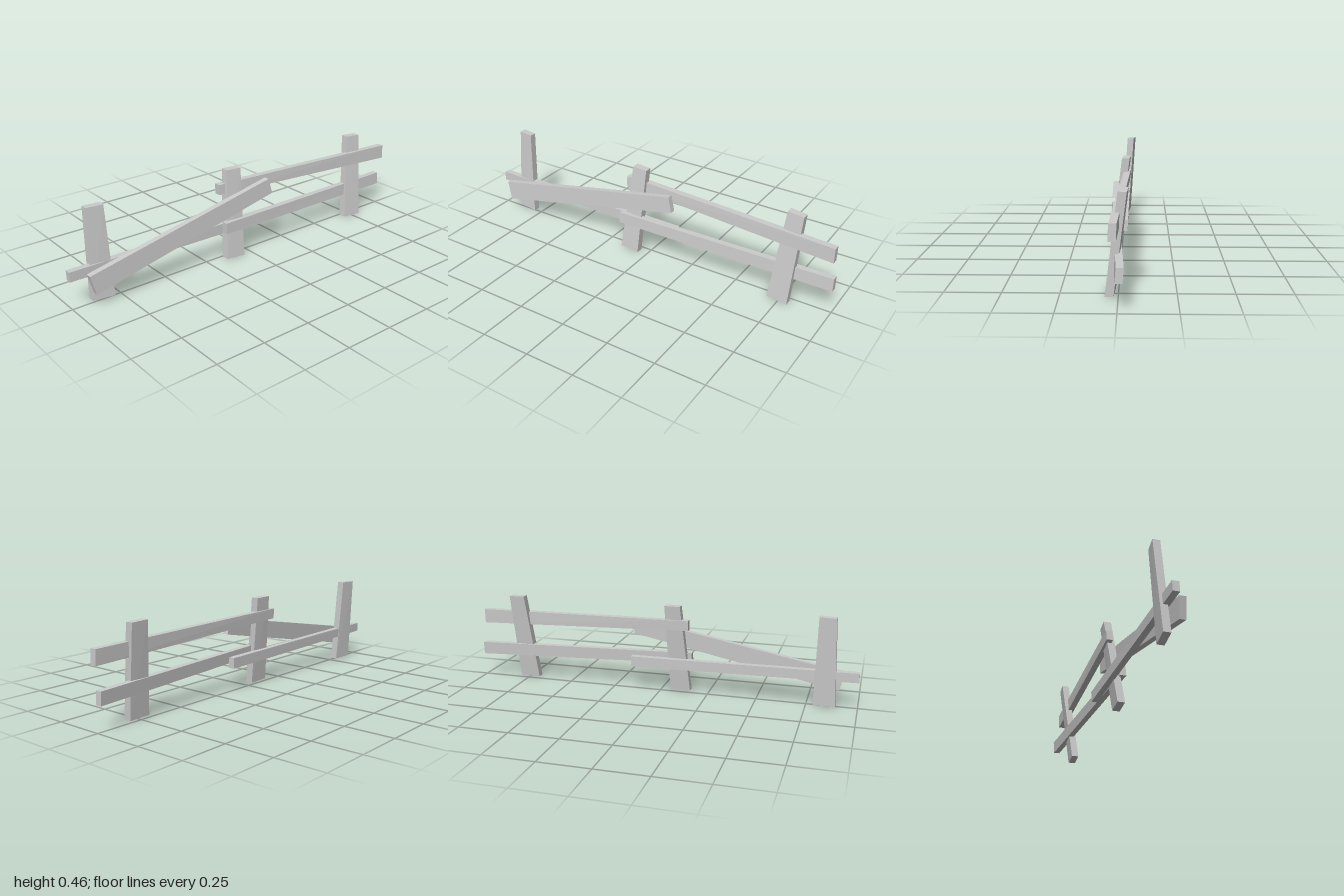
import * as THREE from 'three';

const material = new THREE.MeshStandardMaterial({ color: 0xcccccc, flatShading: true });

// A rough plank: four front-view corners [x, y, back z] (bottom left, bottom right,
// top left, top right), given thickness towards +z.
function plank(name, thickness, corners) {
  const geometry = new THREE.BoxGeometry(1, 1, 1);
  const p = geometry.attributes.position;
  for (let i = 0; i < p.count; i++) {
    const [x, y, z] = corners[(p.getX(i) > 0 ? 1 : 0) + (p.getY(i) > 0 ? 2 : 0)];
    p.setXYZ(i, x, y, z + (p.getZ(i) > 0 ? thickness : 0));
  }
  geometry.computeVertexNormals();
  const mesh = new THREE.Mesh(geometry, material);
  mesh.name = name;
  return mesh;
}

export function createModel() {
  const group = new THREE.Group();
  group.name = 'brokenFence';
  group.add(
    // Leaning, slightly twisted posts that narrow towards the top
    plank('rightPost', 0.036, [
      [-0.895, 0.01, -0.035], [-0.785, 0.007, -0.023],
      [-0.88, 0.46, -0.064], [-0.797, 0.46, -0.052]]),
    plank('middlePost', 0.039, [
      [-0.155, 0.008, 0.013], [-0.05, 0.002, 0.019],
      [-0.112, 0.462, -0.044], [-0.03, 0.46, -0.037]]),
    plank('leftPost', 0.038, [
      [0.69, 0.008, 0.012], [0.798, 0.002, 0.02],
      [0.735, 0.462, -0.044], [0.82, 0.458, -0.036]]),

    // Rails between the posts
    plank('rightLowerRail', 0.032, [
      [-1, 0.142, -0.03], [0.15, 0.125, -0.03],
      [-1, 0.19, -0.032], [0.15, 0.18, -0.032]]),
    plank('leftLowerRail', 0.032, [
      [-0.16, 0.15, 0.026], [0.995, 0.124, -0.022],
      [-0.16, 0.207, 0.022], [0.995, 0.19, -0.027]]),
    plank('leftUpperRail', 0.033, [
      [-0.155, 0.34, -0.041], [0.992, 0.293, 0.004],
      [-0.155, 0.392, -0.045], [0.992, 0.367, 0.001]]),

    // Fallen rail hanging diagonally across the front
    plank('fallenRail', 0.03, [
      [-0.905, 0.073, 0.034], [0.145, 0.293, 0.015],
      [-0.93, 0.17, 0.028], [0.125, 0.373, 0.01]])
  );
  return group;
}
